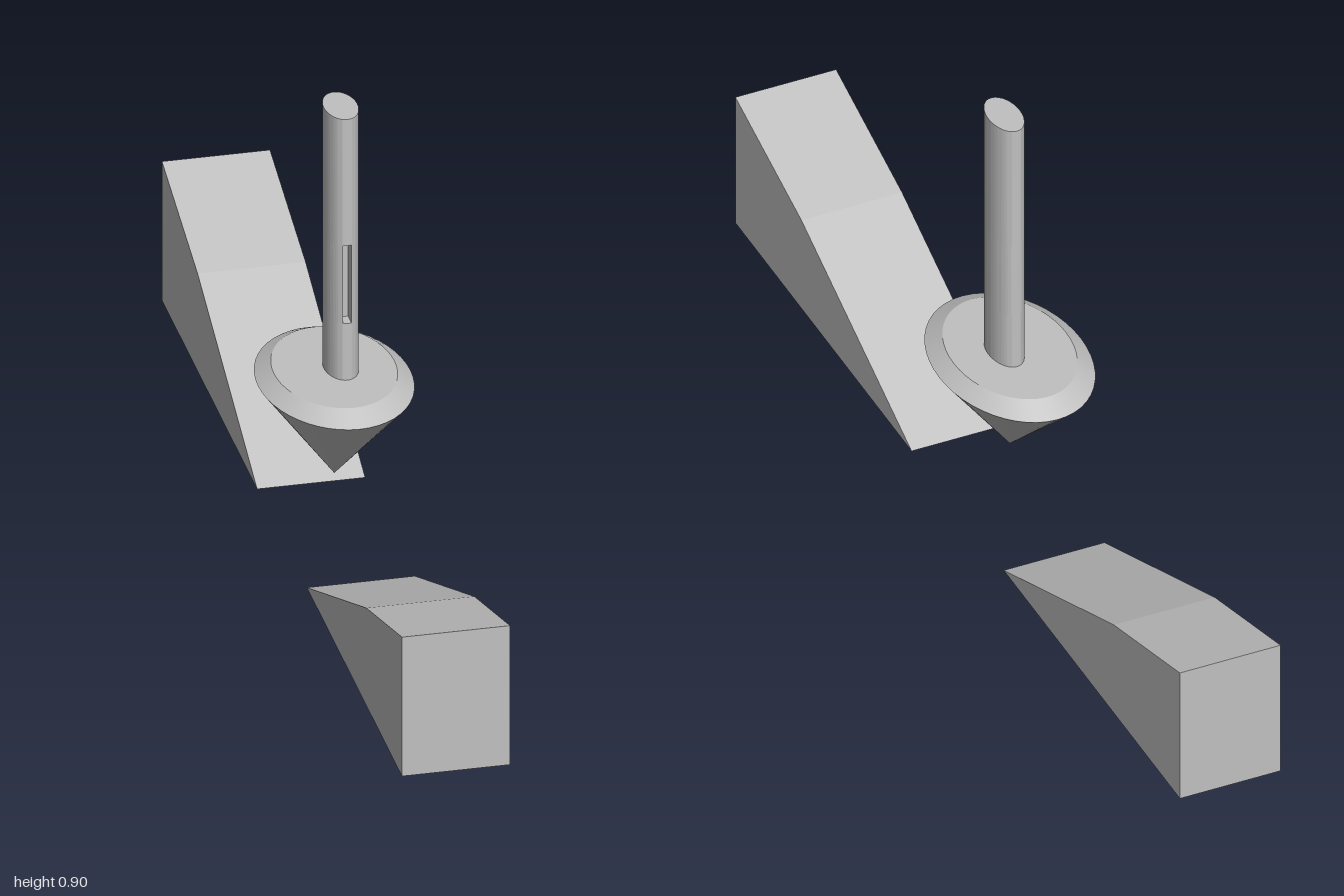
import * as THREE from 'three';
import { toCreasedNormals } from 'three/addons/utils/BufferGeometryUtils.js';

const SEG = 48;

export function createModel() {
  const model = new THREE.Group();
  const steel = new THREE.MeshStandardMaterial({ color: 0xc0c0c0 });
  steel.name = 'grey';

  const add = (name, geometry, parent = model) => {
    const mesh = new THREE.Mesh(geometry, steel);
    mesh.name = name;
    parent.add(mesh);
    return mesh;
  };

  // Two ramps with a broken slope, rising away from the middle
  const profile = new THREE.Shape([[0.207, 0], [1, 0], [1, 0.295], [0.703, 0.207]]
    .map(([z, y]) => new THREE.Vector2(z, y)));
  const ramp = new THREE.ExtrudeGeometry(profile, { depth: 0.209, bevelEnabled: false });
  ramp.translate(0, 0, -0.1045).rotateY(-Math.PI / 2);
  for (const [name, turn] of [['frontRamp', 0], ['backRamp', Math.PI]]) {
    const mesh = add(name, ramp);
    mesh.rotation.y = turn;
    mesh.position.x = 0.003;
  }

  // Oval cone, point down, with a chamfered rim and flat top
  const cone = new THREE.Group();
  cone.name = 'cone';
  cone.position.z = -0.002;
  model.add(cone);
  const ring = (name, top, bottom, y0, y1, open) => {
    const g = new THREE.CylinderGeometry(top, bottom, y1 - y0, SEG, 1, open);
    g.translate(0, (y0 + y1) / 2, 0).scale(0.685, 1, 1);
    add(name, g, cone);
  };
  ring('coneSide', 0.215, 0, 0.126, 0.327, true);
  ring('rimChamfer', 0.17, 0.215, 0.327, 0.35, true);
  const top = new THREE.CircleGeometry(0.17, SEG);
  top.rotateX(-Math.PI / 2).scale(0.685, 1, 1).translate(0, 0.35, 0);
  add('coneTop', top, cone);

  // Oval shaft in three lengths; the middle one has a keyway in its front
  const a = 0.0325, b = 0.058, w = 0.008, depth = 0.03;
  const oval = (slotted) => {
    const s = new THREE.Shape();
    const gap = slotted ? Math.asin(w / a) : 0;
    const start = -Math.PI / 2 + gap;
    s.absellipse(0, 0, a, b, start, start + 2 * (Math.PI - gap), false, 0);
    if (slotted) {
      s.lineTo(-w, depth - b);
      s.lineTo(w, depth - b);
    }
    return s;
  };
  const shaft = new THREE.Group();
  shaft.name = 'shaft';
  shaft.position.set(0.0125, 0, -0.003);
  model.add(shaft);
  for (const [name, y0, y1, slotted] of [
    ['lowerShaft', 0.35, 0.47, false],
    ['keywayShaft', 0.47, 0.635, true],
    ['upperShaft', 0.635, 0.903, false],
  ]) {
    const g = new THREE.ExtrudeGeometry(oval(slotted),
      { depth: y1 - y0, bevelEnabled: false, curveSegments: SEG });
    g.rotateX(-Math.PI / 2).translate(0, y0, 0);
    add(name, toCreasedNormals(g, 0.6), shaft);
  }
  return model;
}
